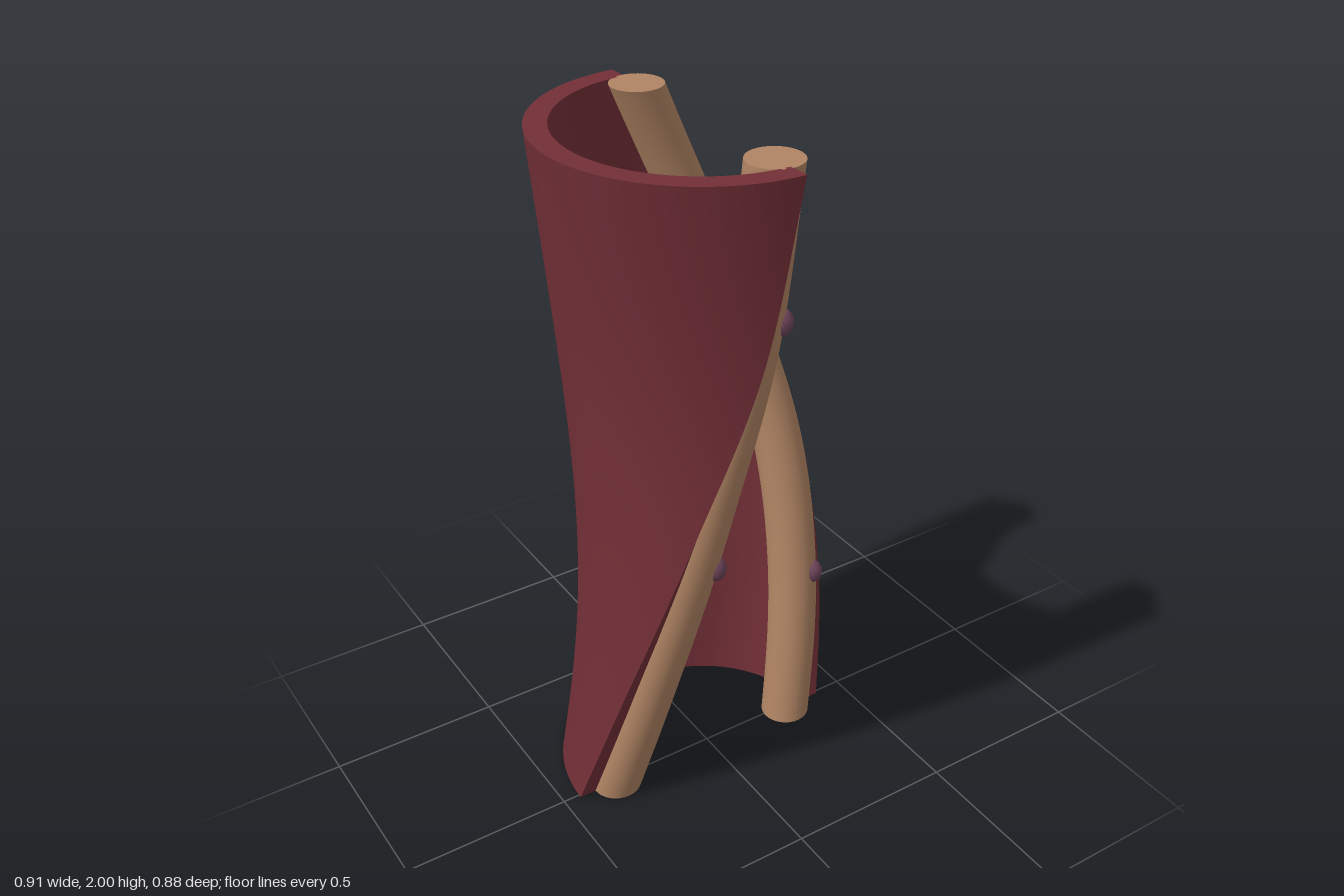
import * as THREE from 'three';
import { mergeGeometries } from 'three/addons/utils/BufferGeometryUtils.js';

const H = 2, OUTER = 0.43, INNER = 0.37, TUBE_OFFSET = 0.307, TUBE_R = 0.073;

// Twist in degrees of the two shell edges (x: left edge, y: right edge) at even heights
const twist = new THREE.CatmullRomCurve3(
  [[0, 0], [15, 19.5], [33, 44.5], [61, 72], [90, 90]].map(([l, r]) => new THREE.Vector3(l, r, 0)),
  false, 'catmullrom', 0.5);

// Angle around the axis of a shell edge; 0 = left edge, 1 = right edge
function edgeAngle(s, t) {
  const p = twist.getPoint(t);
  return THREE.MathUtils.degToRad(p.x + (180 + p.y - p.x) * s);
}

// Gently swaying axis of the half pipe
function axis(t) {
  return new THREE.Vector3(-0.02 + 0.085 * Math.sin(Math.PI * t), H * t, 0.01 + 0.025 * Math.sin(2 * Math.PI * t));
}

function around(center, radius, angle) {
  return new THREE.Vector3(center.x + radius * Math.cos(angle), center.y, center.z - radius * Math.sin(angle));
}

const shellPoint = (s, t, r) => around(axis(t), r, edgeAngle(s, t));
const tubeCenter = (s, t) => shellPoint(s, t, TUBE_OFFSET);

// Smooth sheet from a rule f(u, v)
function sheet(f, nu, nv) {
  const pos = [], idx = [];
  for (let j = 0; j <= nv; j++) {
    for (let i = 0; i <= nu; i++) {
      pos.push(...f(i / nu, j / nv).toArray());
      if (i < nu && j < nv) {
        const a = j * (nu + 1) + i, c = a + nu + 1;
        idx.push(a, a + 1, c, a + 1, c + 1, c);
      }
    }
  }
  const g = new THREE.BufferGeometry();
  g.setAttribute('position', new THREE.Float32BufferAttribute(pos, 3));
  g.setIndex(idx);
  g.computeVertexNormals();
  return g;
}

const lerp = THREE.MathUtils.lerp;

function shellGeometry() {
  const N = 64, M = 60;
  return mergeGeometries([
    sheet((u, v) => shellPoint(u, v, OUTER), N, M),
    sheet((u, v) => shellPoint(1 - u, v, INNER), N, M),
    sheet((u, v) => shellPoint(0, v, lerp(INNER, OUTER, u)), 1, M),
    sheet((u, v) => shellPoint(1, v, lerp(OUTER, INNER, u)), 1, M),
    sheet((u, v) => shellPoint(u, 1, lerp(OUTER, INNER, v)), N, 1),
    sheet((u, v) => shellPoint(u, 0, lerp(INNER, OUTER, v)), N, 1),
  ]);
}

function tubeGeometry(s) {
  const ring = (u, t, r) => around(tubeCenter(s, t), r, u * Math.PI * 2);
  return mergeGeometries([
    sheet((u, v) => ring(u, v, TUBE_R), 32, 60),
    sheet((u, v) => ring(u, 1, TUBE_R * (1 - v * 0.999)), 32, 1),
    sheet((u, v) => ring(u, 0, TUBE_R * (0.001 + v * 0.999)), 32, 1),
  ]);
}

export function createModel() {
  const wine = new THREE.MeshStandardMaterial({ color: 0x722f37 });
  wine.name = 'wine red';
  const tan = new THREE.MeshStandardMaterial({ color: 0xb08463 });
  tan.name = 'tan';
  const plum = new THREE.MeshStandardMaterial({ color: 0x6b4358 });
  plum.name = 'plum';

  const model = new THREE.Group();
  model.name = 'twistedHalfPipe';
  const add = (name, geometry, material) => {
    const mesh = new THREE.Mesh(geometry, material);
    mesh.name = name;
    model.add(mesh);
    return mesh;
  };

  add('shell', shellGeometry(), wine);
  add('leftEdgeTube', tubeGeometry(0), tan);
  add('rightEdgeTube', tubeGeometry(1), tan);

  // Beads sit on the tube surfaces: edge, x, y, z
  const beads = [[0, 0.36, 0.5, -0.01], [1, -0.12, 0.86, 0.27], [0, 0.32, 1.22, -0.2], [1, 0.015, 1.58, 0.333]];
  const beadGeometry = new THREE.SphereGeometry(0.03, 12, 10).scale(1, 1.22, 1);
  beads.forEach(([s, x, y, z], i) => {
    const c = tubeCenter(s, y / H);
    const out = new THREE.Vector3(x, y, z).sub(c).setLength(0.066);
    add('bead' + (i + 1), beadGeometry, plum).position.copy(c.add(out));
  });
  return model;
}
